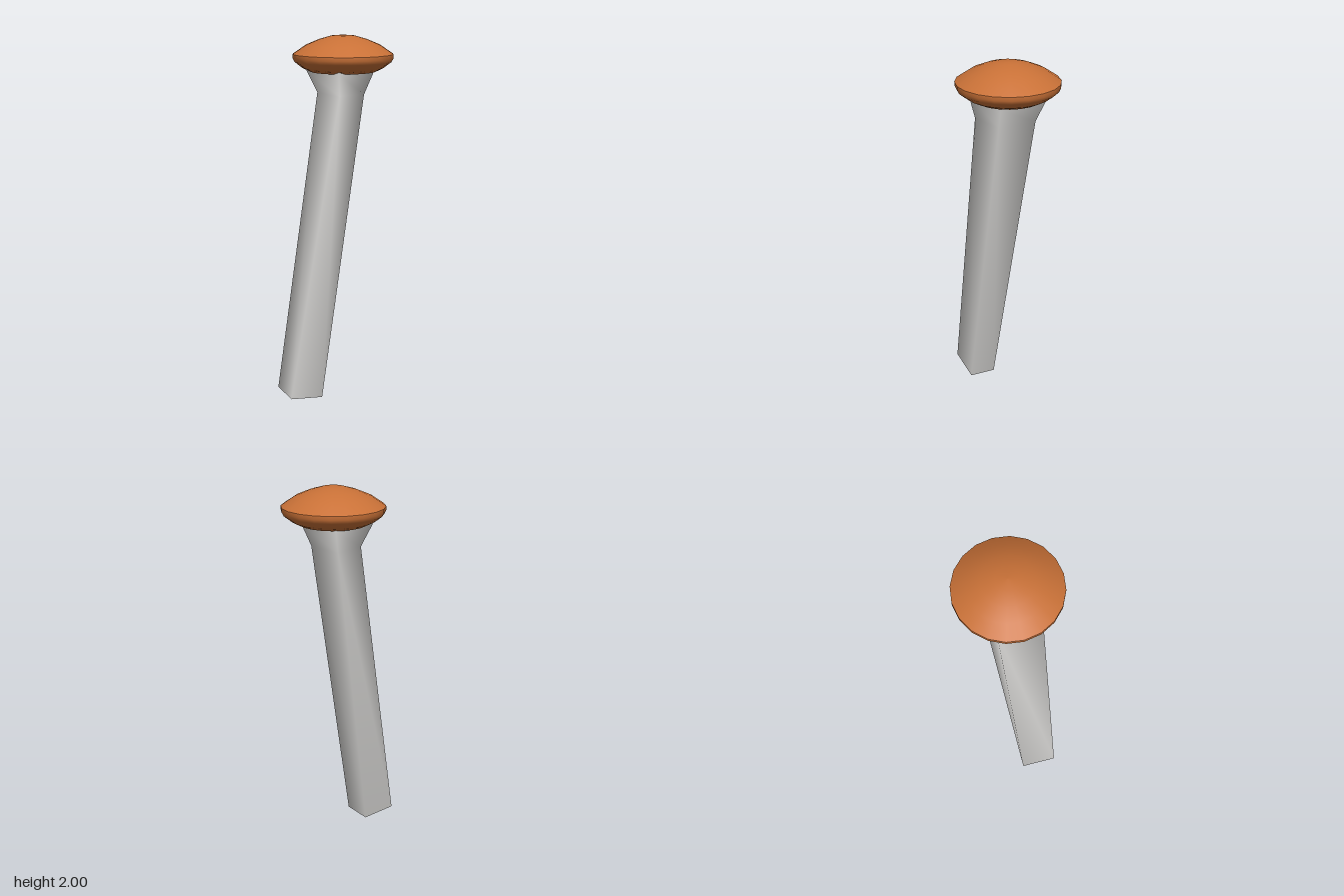
import * as THREE from 'three';

const capOrange = new THREE.MeshStandardMaterial({ color: 0xc97137 });
capOrange.name = 'capOrange';
const stemGrey = new THREE.MeshStandardMaterial({ color: 0xd2d1cf });
stemGrey.name = 'stemGrey';

// Turned part of the cap, from [radius, height] pairs running upward
function turned(name, profile) {
  const points = profile.map(([r, y]) => new THREE.Vector2(r, y));
  const mesh = new THREE.Mesh(new THREE.LatheGeometry(points, 20), capOrange);
  mesh.name = name;
  return mesh;
}

function meshFrom(name, corners, index) {
  const geometry = new THREE.BufferGeometry();
  geometry.setAttribute('position', new THREE.Float32BufferAttribute(corners.flat(), 3));
  geometry.setIndex(index);
  geometry.computeVertexNormals();
  const mesh = new THREE.Mesh(geometry, stemGrey);
  mesh.name = name;
  return mesh;
}

export function createModel() {
  const model = new THREE.Group();
  model.name = 'mushroom';

  // Cap: domed top and rounded underside, meeting at a crisp rim
  const cap = new THREE.Group();
  cap.name = 'cap';
  cap.position.x = 0.08;
  cap.add(
    turned('capUnderside', [[0, 1.85], [0.13, 1.84], [0.175, 1.806], [0.22, 1.828], [0.262, 1.86], [0.272, 1.88], [0.272, 1.9]]),
    turned('capTop', [[0.272, 1.9], [0.2, 1.948], [0.13, 1.977], [0.06, 1.997], [0, 2]])
  );
  model.add(cap);

  // Stem: leaning, four-sided, slightly twisted, flaring under the cap
  const rings = [
    [[-0.355, 0.045, 0.04], [-0.285, 0.035, -0.15], [-0.13, 0, -0.07], [-0.16, 0.008, 0.08]],
    [[-0.055, 1.69, 0.11], [0.005, 1.69, -0.122], [0.175, 1.685, -0.105], [0.135, 1.685, 0.105]],
    [[-0.08, 1.81, 0.13], [-0.03, 1.81, -0.172], [0.222, 1.8, -0.13], [0.18, 1.8, 0.13]],
    [[-0.06, 1.845, 0.11], [-0.02, 1.845, -0.13], [0.19, 1.845, -0.1], [0.16, 1.845, 0.11]]
  ];
  const sides = [];
  for (let r = 0; r < rings.length - 1; r++) {
    for (let i = 0; i < 4; i++) {
      const a = r * 4 + i, b = r * 4 + (i + 1) % 4;
      sides.push(a, a + 4, b + 4, a, b + 4, b);
    }
  }
  const stem = new THREE.Group();
  stem.name = 'stem';
  stem.add(
    meshFrom('stemSides', rings.flat(), sides),
    meshFrom('stemBase', rings[0], [0, 1, 2, 0, 2, 3])
  );
  model.add(stem);
  return model;
}
